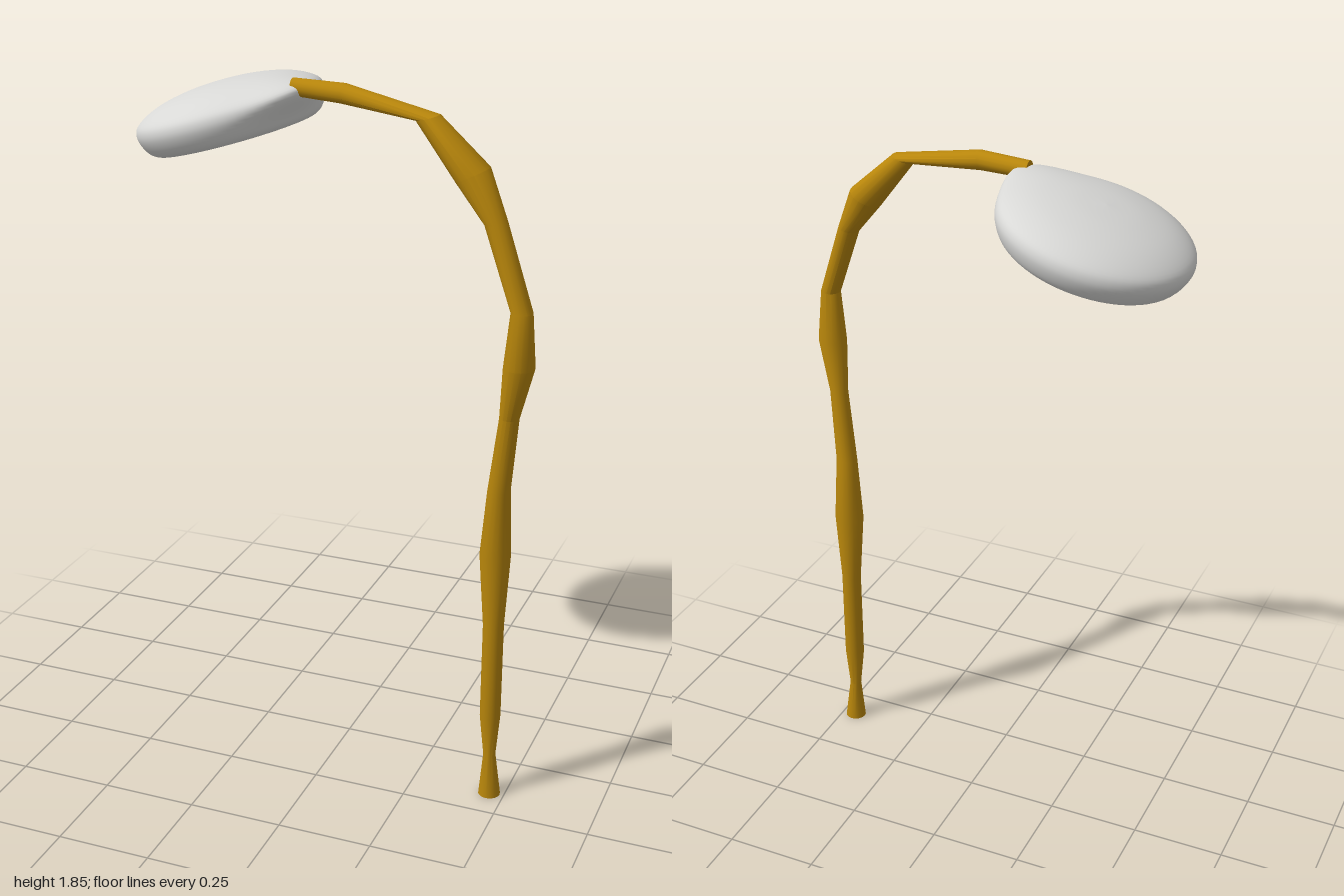
import * as THREE from 'three';
import { mergeVertices, toCreasedNormals } from 'three/addons/utils/BufferGeometryUtils.js';

const SIDES = 16;

// Loft of round sections; each station is [x, y, z, radius, tilt in degrees from level toward -x]
function loft(stations) {
  const pos = [], index = [];
  for (const [x, y, z, r, tilt] of stations) {
    const t = THREE.MathUtils.degToRad(tilt);
    for (let j = 0; j < SIDES; j++) {
      const a = (j / SIDES) * Math.PI * 2, c = r * Math.cos(a);
      pos.push(x + c * Math.cos(t), y + c * Math.sin(t), z + r * Math.sin(a));
    }
  }
  const n = stations.length, bottom = n * SIDES, top = bottom + 1;
  pos.push(...stations[0].slice(0, 3), ...stations[n - 1].slice(0, 3));
  for (let j = 0; j < SIDES; j++) {
    const k = (j + 1) % SIDES;
    for (let i = 0; i < n - 1; i++) {
      const a = i * SIDES + j, b = i * SIDES + k;
      index.push(a, a + SIDES, b, b, a + SIDES, b + SIDES);
    }
    index.push(bottom, j, k, top, (n - 1) * SIDES + k, (n - 1) * SIDES + j);
  }
  const geo = new THREE.BufferGeometry();
  geo.setAttribute('position', new THREE.Float32BufferAttribute(pos, 3));
  geo.setIndex(index);
  return toCreasedNormals(geo, 0.45);
}

// Hollow dome with a rounded rim, swelling on one side toward the arm
function lampShade() {
  const profile = [
    [0.001, 0.068], [0.09, 0.068], [0.155, 0.062], [0.172, 0.045], [0.178, 0.018], [0.19, 0.003],
    [0.205, 0], [0.225, 0.012], [0.24, 0.037], [0.245, 0.062], [0.235, 0.085],
    [0.2, 0.107], [0.15, 0.124], [0.08, 0.136], [0.001, 0.14],
  ].map(([r, y]) => new THREE.Vector2(r, y));
  let geo = new THREE.LatheGeometry(new THREE.SplineCurve(profile).getPoints(56), 64);
  geo.deleteAttribute('uv');
  geo.deleteAttribute('normal');
  geo = mergeVertices(geo, 1e-5);
  const p = geo.attributes.position;
  for (let i = 0; i < p.count; i++) {
    const x = p.getX(i), y = p.getY(i), z = p.getZ(i), r = Math.hypot(x, z);
    const off = (Math.atan2(z, x) - 0.44) / 0.29;
    const pull = Math.exp(-off * off / 2) * Math.pow(r / 0.245, 4)
      * THREE.MathUtils.smoothstep(y, 0.015, 0.075);
    const s = 1 + 0.17 * pull;
    p.setXYZ(i, x * s, y + 0.012 * pull, z * s);
  }
  geo.computeVertexNormals();
  return geo;
}

export function createModel() {
  const group = new THREE.Group();
  const brass = new THREE.MeshStandardMaterial({ color: 0xb8860b });
  brass.name = 'brass';
  const paleGrey = new THREE.MeshStandardMaterial({ color: 0xd8d8d6 });
  paleGrey.name = 'pale grey';

  // Knobbly post that bends over into the arm
  const pole = new THREE.Mesh(loft([
    [0.46, 0, 0.16, 0.029, 0],
    [0.457, 0.12, 0.16, 0.016, 0],
    [0.455, 0.235, 0.158, 0.027, 0],
    [0.455, 0.5, 0.156, 0.027, 0],
    [0.453, 0.7, 0.154, 0.04, 0],
    [0.46, 0.88, 0.165, 0.029, 0],
    [0.484, 1.08, 0.18, 0.025, 0],
    [0.51, 1.22, 0.203, 0.039, 0],
    [0.514, 1.36, 0.211, 0.027, 0],
    [0.436, 1.56, 0.182, 0.028, 10],
    [0.37, 1.665, 0.161, 0.045, 25],
    [0.254, 1.787, 0.15, 0.03, 16],
    [0.03, 1.822, 0.122, 0.025, 80],
    [-0.108, 1.824, 0.1, 0.022, 90],
  ]), brass);
  pole.name = 'pole';

  // Tilted lamp head
  const shade = new THREE.Mesh(lampShade(), paleGrey);
  shade.name = 'lampShade';
  shade.rotation.z = THREE.MathUtils.degToRad(16.3);
  shade.position.set(-0.305, 1.671, 0);

  group.add(pole, shade);
  return group;
}
